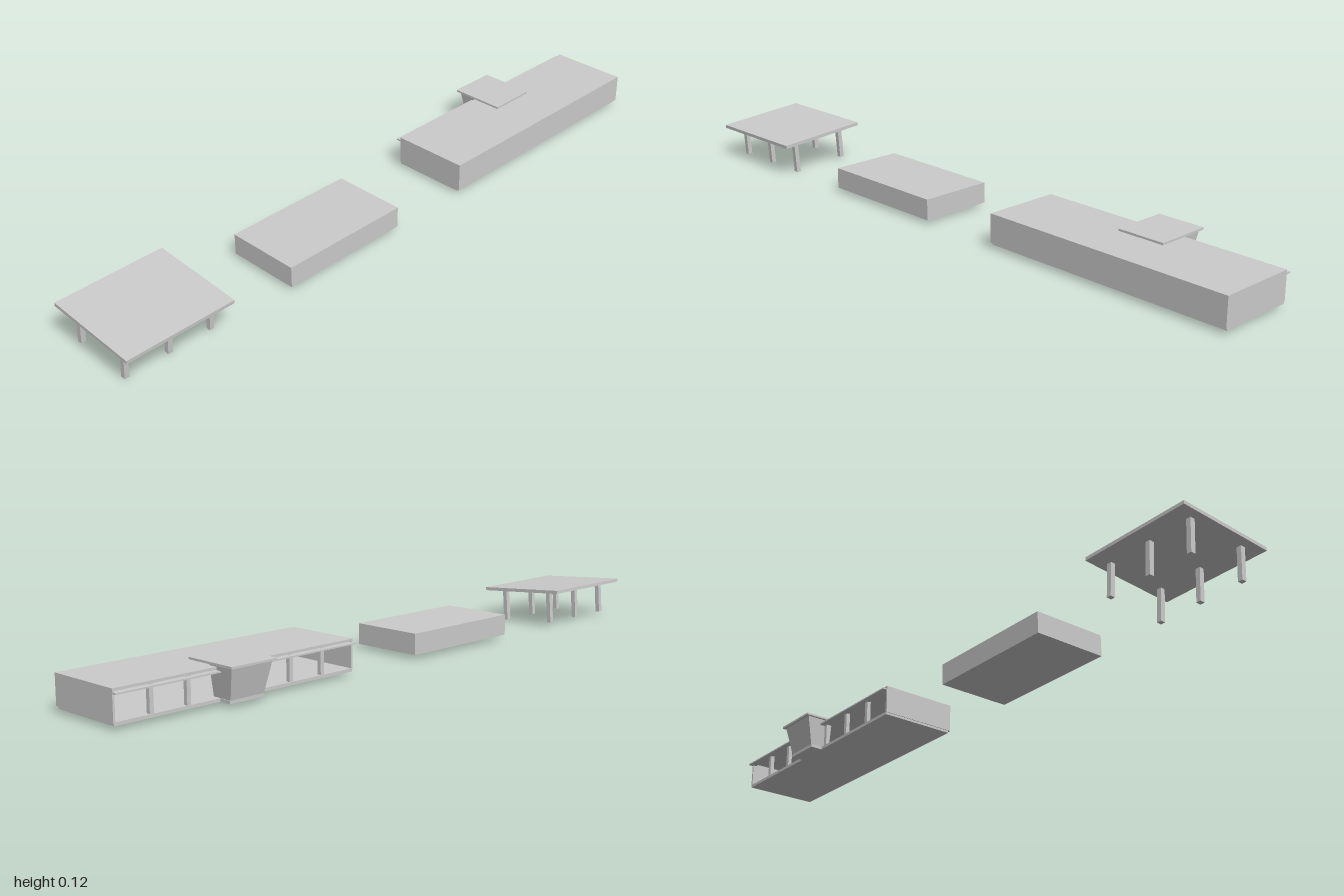
import * as THREE from 'three';

const YAW = -0.043; // shared slight turn of all three structures
const grey = new THREE.MeshStandardMaterial({ color: 0xcccccc, flatShading: true });

// Box given by its minimum and maximum corners
function block(parent, name, [x0, y0, z0], [x1, y1, z1]) {
  const mesh = new THREE.Mesh(new THREE.BoxGeometry(x1 - x0, y1 - y0, z1 - z0), grey);
  mesh.position.set((x0 + x1) / 2, (y0 + y1) / 2, (z0 + z1) / 2);
  mesh.name = name;
  parent.add(mesh);
  return mesh;
}

function structure(parent, name, x, y, z, tilt = 0) {
  const group = new THREE.Group();
  group.name = name;
  group.position.set(x, y, z);
  group.rotation.set(tilt, YAW, 0, 'YXZ');
  parent.add(group);
  return group;
}

// Open shelter: tilted flat roof on two rows of three posts
function addShelter(parent) {
  const shelter = structure(parent, 'shelter', -0.83, 0.109, -0.023, 0.075);
  block(shelter, 'shelterRoof', [-0.166, -0.005, -0.143], [0.166, 0.005, 0.143]);
  for (const z of [-0.087, 0.087])
    for (const x of [-0.133, 0, 0.133])
      block(shelter, 'shelterPost', [x - 0.007, -0.102, z - 0.007], [x + 0.007, -0.004, z + 0.007]);
}

// Long hall, open along the back with a row of posts
function addHall(parent) {
  const hall = structure(parent, 'hall', 0.602, 0, 0.037);
  const w = 0.388, d = 0.117, t = 0.006;
  block(hall, 'hallFloor', [-w + 0.002, 0.011, -d], [w - 0.002, 0.02, d - 0.006]);
  block(hall, 'hallRoof', [-w, 0.094, -d], [w, 0.101, d]);
  block(hall, 'frontWall', [-w, 0.018, d - t], [w, 0.094, d]);
  for (const s of [-1, 1]) {
    const x = s * (w - t / 2);
    block(hall, 'endWall', [x - t / 2, 0.018, -d], [x + t / 2, 0.094, d - t]);
  }
  block(hall, 'backEave', [-w, 0.088, -d - 0.014], [w, 0.092, -d + 0.01]);
  for (let i = 1; i < 7; i++) {
    const x = -w + (2 * w * i) / 7;
    block(hall, 'backPost', [x - 0.006, 0.02, -d + 0.002], [x + 0.006, 0.094, -d + 0.014]);
  }
  addBooth(hall, 0.016);
}

// Entrance booth that widens upward, under a flat canopy
function addBooth(hall, x) {
  block(hall, 'boothBase', [x - 0.056, 0.011, -0.154], [x + 0.056, 0.02, -0.1]);
  const booth = block(hall, 'boothWalls', [x - 0.054, 0.02, -0.154], [x + 0.054, 0.106, -0.09]);
  const p = booth.geometry.attributes.position;
  for (let i = 0; i < p.count; i++) {
    if (p.getY(i) < 0) continue;
    p.setX(i, p.getX(i) * 1.22);
    if (p.getZ(i) < 0) p.setZ(i, p.getZ(i) - 0.021);
  }
  booth.geometry.computeVertexNormals();
  block(hall, 'boothCanopy', [x - 0.073, 0.106, -0.184], [x + 0.073, 0.112, -0.018]);
}

export function createModel() {
  const model = new THREE.Group();
  model.name = 'buildings';
  addShelter(model);
  const annex = structure(model, 'annex', -0.245, 0, 0.003);
  block(annex, 'annexBlock', [-0.202, 0.013, -0.112], [0.202, 0.075, 0.112]);
  addHall(model);
  return model;
}
